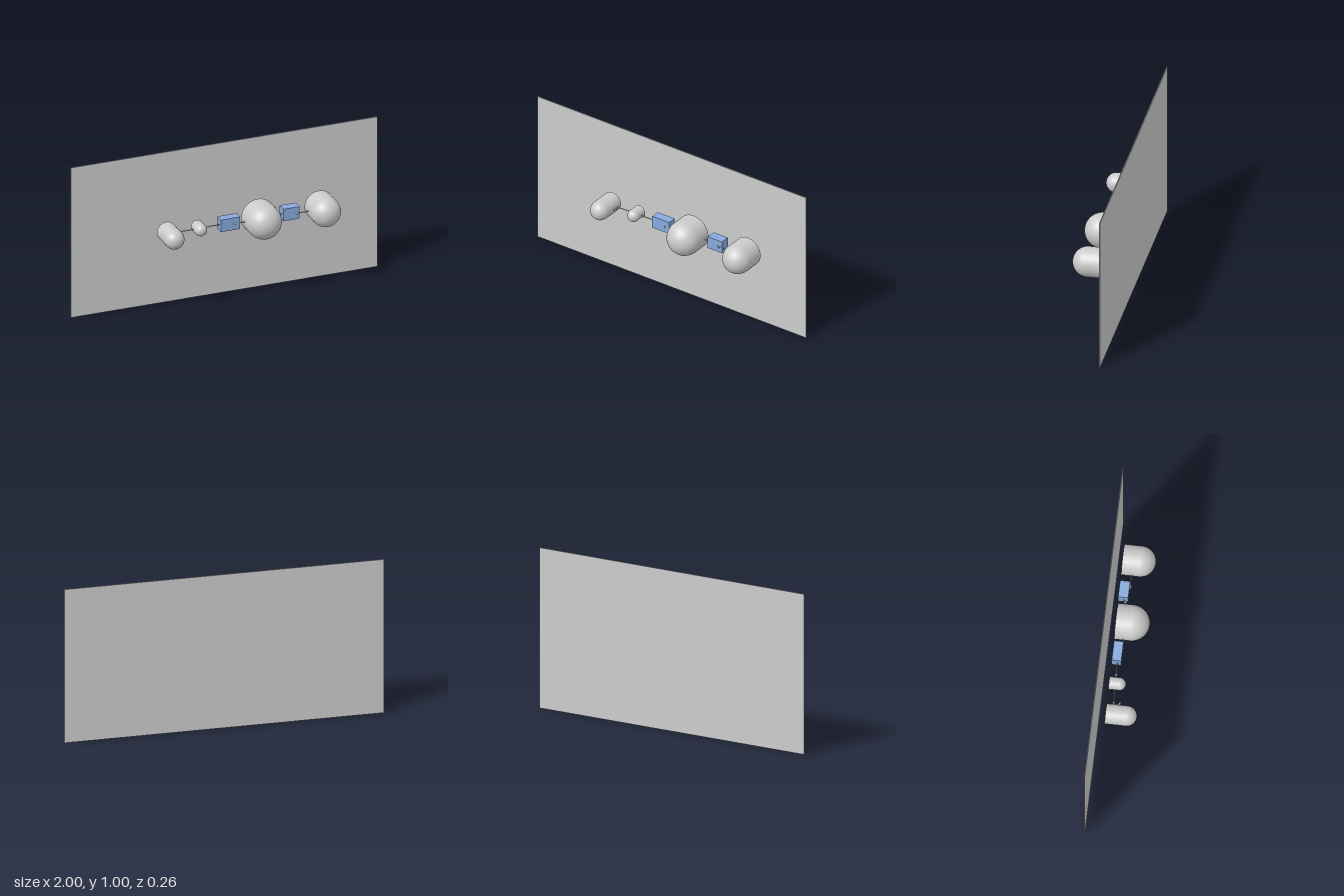
import * as THREE from 'three';

export function createModel() {
  const model = new THREE.Group();
  const grey = new THREE.MeshStandardMaterial({ color: 0xcccccc });
  const blue = new THREE.MeshStandardMaterial({ color: 0x88aadd });
  const Y = 0.5;

  function add(name, geometry, material, x, y, z) {
    const mesh = new THREE.Mesh(geometry, material);
    mesh.name = name;
    mesh.position.set(x, y, z);
    model.add(mesh);
    return mesh;
  }

  // Straight rod between two [x, z] points at mid height
  function rod(name, a, b, r = 0.003) {
    const from = new THREE.Vector3(a[0], Y, a[1]);
    const to = new THREE.Vector3(b[0], Y, b[1]);
    const dir = to.clone().sub(from);
    const mesh = add(name, new THREE.CylinderGeometry(r, r, dir.length(), 10), grey, 0, 0, 0);
    mesh.position.copy(from).add(to).multiplyScalar(0.5);
    mesh.quaternion.setFromUnitVectors(new THREE.Vector3(0, 1, 0), dir.normalize());
  }

  // Thin upright back panel
  add('backPanel', new THREE.BoxGeometry(2, 1, 0.006), grey, 0, 0.5, -0.128);

  // Domed cylinders facing forward: x, radius, back z, front z
  const domes = [
    [-0.4, 0.062, -0.068, 0.122],
    [-0.2, 0.039, -0.071, 0.031],
    [0.2, 0.11, -0.074, 0.13],
    [0.6, 0.094, -0.08, 0.121],
  ];
  for (const [x, r, back, front] of domes) {
    const body = front - r - back;
    const unit = new THREE.Group();
    unit.name = 'domedCylinder';
    const barrel = new THREE.Mesh(new THREE.CylinderGeometry(r, r, body, 48), grey);
    barrel.name = 'barrel';
    barrel.position.y = body / 2;
    const cap = new THREE.Mesh(
      new THREE.SphereGeometry(r, 48, 20, 0, Math.PI * 2, 0, Math.PI / 2), grey);
    cap.name = 'dome';
    cap.position.y = body;
    unit.add(barrel, cap);
    unit.rotation.x = Math.PI / 2;
    unit.position.set(x, Y, back);
    model.add(unit);
  }

  // Coupling blocks
  add('leftBlock', new THREE.BoxGeometry(0.106, 0.08, 0.062), blue, 0.397, Y, -0.049);
  add('rightBlock', new THREE.BoxGeometry(0.126, 0.08, 0.058), blue, -0.003, Y, -0.042);

  // Linking rods
  rod('linkRod', [-0.335, -0.03], [-0.23, -0.03]);
  rod('linkRod', [-0.165, -0.035], [-0.06, -0.035]);
  rod('linkRod', [0.02, -0.016], [0.1, -0.016]);
  rod('linkRod', [0.3, -0.03], [0.35, -0.045]);
  rod('linkRod', [0.42, -0.017], [0.52, -0.017]);
  rod('linkElbow', [-0.333, -0.032], [-0.333, 0.012]);

  // Small pointed fittings where the rods meet the units
  const tips = [[-0.33, 0.008], [-0.33, -0.028], [-0.15, -0.035],
    [0.022, -0.014], [0.322, -0.033], [0.423, -0.014]];
  for (const [x, z] of tips) {
    const tip = add('rodTip', new THREE.ConeGeometry(0.008, 0.018, 12), grey, x, Y, z);
    tip.rotation.z = Math.PI / 2;
  }
  return model;
}
